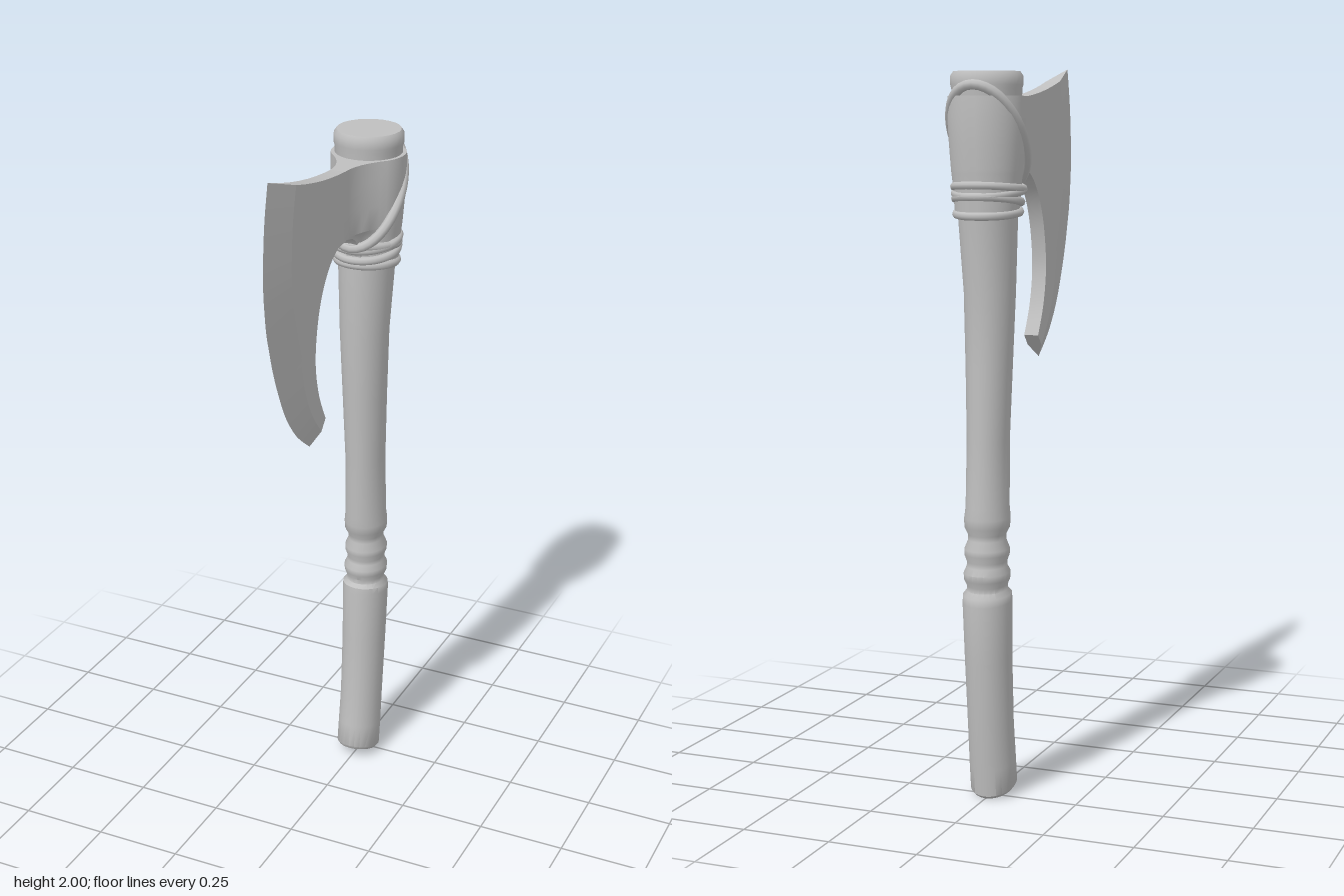
import * as THREE from 'three';
import { toCreasedNormals } from 'three/addons/utils/BufferGeometryUtils.js';

// Skin over closed rings (bottom to top, each mirrored in x), with end caps
function loft(rings, crease) {
  const n = rings[0].length, last = (rings.length - 1) * n, index = [];
  const tri = (a, b, c) => { if (a !== b && b !== c && a !== c) index.push(a, b, c); };
  for (let i = 0; i < rings.length - 1; i++) {
    for (let j = 0; j < n; j++) {
      const a = i * n + j, b = i * n + (j + 1) % n;
      tri(a, b, b + n);
      tri(a, b + n, a + n);
    }
  }
  for (let j = 0; j < (n - 1) / 2; j++) {
    const b = j + 1, c = n - j - 1, d = (n - j) % n;
    tri(last + j, last + b, last + c);
    tri(last + j, last + c, last + d);
    tri(j, c, b);
    tri(j, d, c);
  }
  const g = new THREE.BufferGeometry();
  g.setAttribute('position', new THREE.Float32BufferAttribute(rings.flat(2), 3));
  g.setIndex(index);
  return toCreasedNormals(g, crease);
}

// Ring from a centre point and its +x half
const mirrorRing = (start, half) =>
  [start, ...half, ...half.map(([x, y, z]) => [-x, y, z]).reverse()];

function handleGeometry() {
  // height, centre z, half width x, half depth z, tilt
  const sections = [
    [0.020, -0.227, 0.056, 0.064, 0.28], [0.030, -0.228, 0.063, 0.072, 0.28],
    [0.10, -0.237, 0.063, 0.071, 0.25], [0.20, -0.249, 0.062, 0.070, 0.2],
    [0.40, -0.265, 0.064, 0.072, 0.13], [0.56, -0.272, 0.067, 0.075, 0.1],
    [0.58, -0.272, 0.066, 0.073, 0.08], [0.592, -0.272, 0.056, 0.061, 0.06],
    [0.605, -0.273, 0.055, 0.060, 0.05], [0.622, -0.273, 0.062, 0.069, 0.04],
    [0.64, -0.274, 0.063, 0.071, 0.03], [0.657, -0.274, 0.055, 0.061, 0.02],
    [0.67, -0.274, 0.054, 0.060, 0], [0.69, -0.274, 0.061, 0.068, 0],
    [0.705, -0.274, 0.061, 0.068, 0], [0.73, -0.273, 0.051, 0.058, 0],
    [0.745, -0.273, 0.051, 0.058, 0], [0.765, -0.272, 0.061, 0.069, 0],
    [0.79, -0.271, 0.062, 0.071, 0], [0.82, -0.269, 0.058, 0.070, 0],
    [1.0, -0.263, 0.056, 0.070, 0], [1.2, -0.255, 0.062, 0.073, 0],
    [1.4, -0.249, 0.069, 0.077, 0], [1.6, -0.260, 0.078, 0.091, 0],
    [1.8, -0.266, 0.090, 0.094, 0], [1.935, -0.267, 0.094, 0.094, 0],
    [1.945, -0.267, 0.097, 0.096, 0], [1.968, -0.267, 0.097, 0.096, 0],
    [1.98, -0.267, 0.089, 0.089, 0],
  ];
  return loft(sections.map(([y, cz, rx, rz, tilt]) =>
    Array.from({ length: 24 }, (_, j) => {
      const a = j / 24 * Math.PI * 2, z = rz * Math.cos(a);
      return [rx * Math.sin(a), y + tilt * z, cz + z];
    })), 0.7);
}

function socketGeometry() {
  // height, radius, nose z
  const levels = [
    [1.61, 0.086, -0.175], [1.65, 0.089, -0.168], [1.675, 0.091, -0.155],
    [1.70, 0.093, -0.138], [1.715, 0.095, -0.115], [1.725, 0.096, -0.065],
    [1.79, 0.101, -0.06], [1.86, 0.105, -0.06], [1.916, 0.104, -0.06],
  ];
  return loft(levels.map(([y, r, nose]) => {
    const cz = -0.266, half = [];
    const a0 = 0.73, z0 = cz + r * Math.cos(a0), x0 = r * Math.sin(a0);
    // concave cheeks from the nose back to the round eye
    for (let k = 0; k < 5; k++) {
      const s = k / 5;
      half.push([0.021 + (x0 - 0.021) * s ** 2.2, y, nose + (z0 - nose) * s]);
    }
    for (let k = 0; k <= 12; k++) {
      const a = a0 + (Math.PI - a0) * k / 12.4;
      half.push([r * Math.sin(a), y, cz + r * Math.cos(a)]);
    }
    return mirrorRing([0, y, nose], half);
  }), 0.6);
}

function bladeGeometry() {
  const spline = pts => new THREE.SplineCurve(pts.map(p => new THREE.Vector2(...p)));
  // matching (z, y) points along the cutting edge and the inner side
  const edge = spline([
    [0.345, 2.0], [0.364, 1.91], [0.374, 1.82], [0.377, 1.73], [0.371, 1.66],
    [0.363, 1.605], [0.348, 1.55], [0.33, 1.49], [0.3, 1.415], [0.257, 1.33],
    [0.193, 1.25], [0.114, 1.187],
  ]);
  const inner = spline([
    [-0.08, 1.915], [-0.08, 1.84], [-0.08, 1.78], [-0.08, 1.725], [-0.03, 1.718],
    [0.02, 1.69], [0.066, 1.635], [0.098, 1.565], [0.116, 1.475], [0.114, 1.405],
    [0.093, 1.327], [0.055, 1.253],
  ]);
  const rows = 44, rings = [];
  for (let i = rows; i >= 0; i--) {
    const t = i / rows, e = edge.getPoint(t), q = inner.getPoint(t);
    const bevel = Math.min(0.12 / e.distanceTo(q), 0.55);
    const half = [];
    for (let k = 0; k <= 6; k++) {
      const s = bevel + (1 - bevel) * k / 6;
      const sag = 0.064 * s * (1 - s) * Math.max(0, 1 - 4 * t);
      half.push([0.021, e.y + (q.y - e.y) * s - sag, e.x + (q.x - e.x) * s]);
    }
    rings.push(mirrorRing([0, e.y, e.x], half));
  }
  return loft(rings, 0.16);
}

// Cord loop around the shaft, running from a front height to a back height
function cordGeometry(yFront, yBack, rx, zFront, zBack, thick) {
  const pts = Array.from({ length: 24 }, (_, j) => {
    const a = j / 24 * Math.PI * 2, c = (1 + Math.cos(a)) / 2;
    return new THREE.Vector3(rx * Math.sin(a), yBack + (yFront - yBack) * c,
      zBack + (zFront - zBack) * c);
  });
  return new THREE.TubeGeometry(new THREE.CatmullRomCurve3(pts, true), 48, thick, 8, true);
}

export function createModel() {
  const group = new THREE.Group();
  const grey = new THREE.MeshStandardMaterial({ color: 0xbfbfbf });
  grey.name = 'plain grey';
  const add = (name, geometry) => {
    const mesh = new THREE.Mesh(geometry, grey);
    mesh.name = name;
    group.add(mesh);
  };
  add('handle', handleGeometry());
  add('headSocket', socketGeometry());
  add('blade', bladeGeometry());

  // Lashing: one steep loop over the socket, then bands below it
  add('diagonalCord', cordGeometry(1.672, 1.945, 0.1, -0.152, -0.362, 0.014));
  [
    [1.665, 1.685, 0.090, -0.155, -0.352],
    [1.68, 1.655, 0.089, -0.154, -0.350],
    [1.632, 1.655, 0.086, -0.168, -0.350],
    [1.618, 1.604, 0.083, -0.170, -0.348],
  ].forEach((band, i) => add('cordBand' + (i + 1), cordGeometry(...band, 0.012)));
  return group;
}
